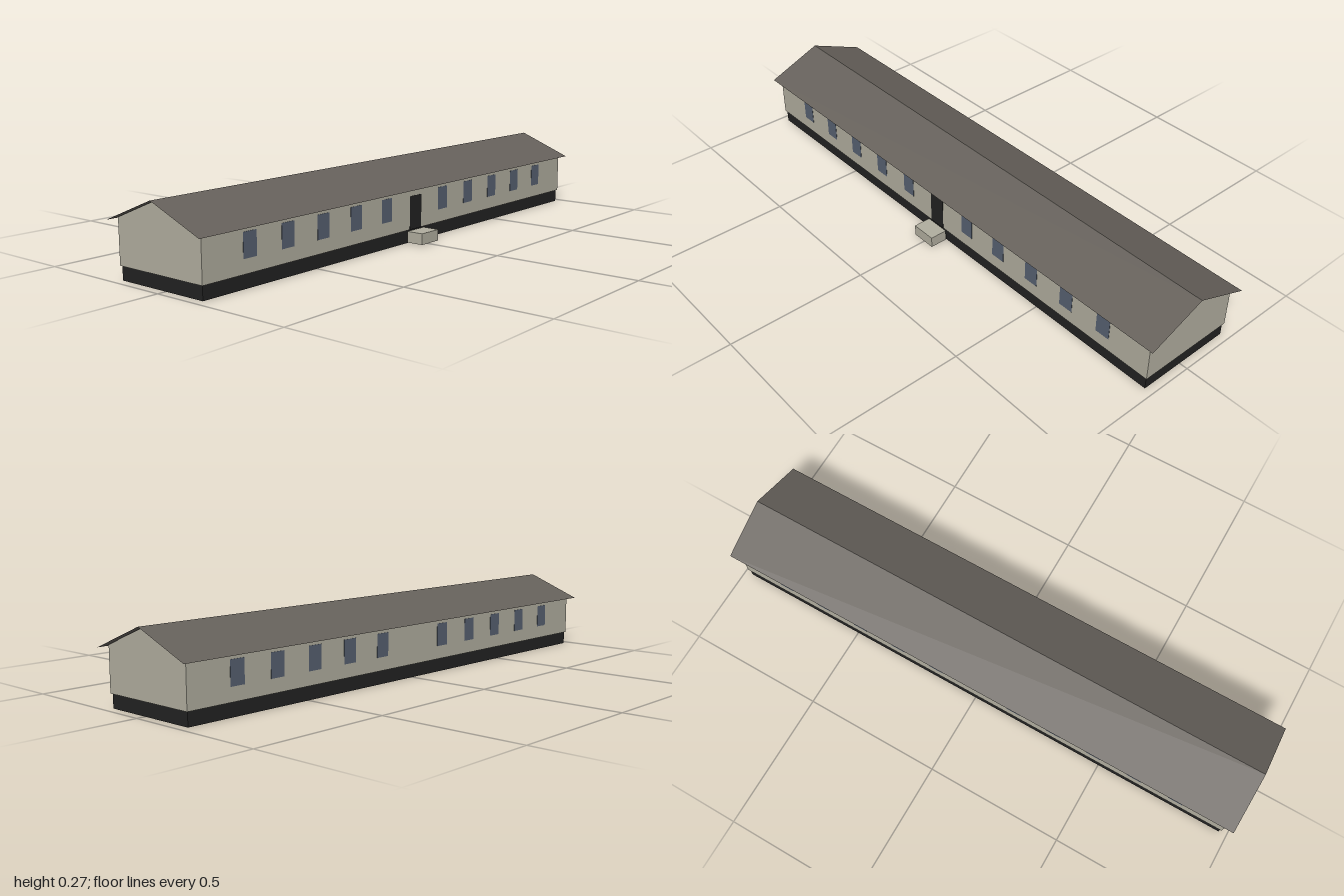
import * as THREE from 'three';

export function createModel() {
  const model = new THREE.Group();
  model.name = 'longBarrack';

  const material = (name, color) => {
    const m = new THREE.MeshStandardMaterial({ color });
    m.name = name;
    return m;
  };
  const wallPaint = material('wall beige', 0xb0ad9e);
  const roofing = material('roof grey brown', 0x66615b);
  roofing.side = THREE.DoubleSide;
  const dark = material('dark base', 0x222222);
  const glass = material('window blue grey', 0x566070);

  const add = (name, geometry, mat) => {
    const mesh = new THREE.Mesh(geometry, mat);
    mesh.name = name;
    model.add(mesh);
    return mesh;
  };
  // Box given by its lower and upper limits on each axis
  const box = (name, mat, [x0, x1], [y0, y1], [z0, z1]) =>
    add(name, new THREE.BoxGeometry(x1 - x0, y1 - y0, z1 - z0), mat)
      .position.set((x0 + x1) / 2, (y0 + y1) / 2, (z0 + z1) / 2);

  const ridgeZ = -0.0195, ridgeY = 0.267;
  const front = 0.163, back = -0.2;
  const base = 0.046, eave = 0.194;

  // Recessed foundation
  box('foundation', dark, [-0.97, 0.97], [0, base], [-0.196, 0.158]);

  // Gabled body: end profile extruded along x
  const gable = new THREE.Shape([
    [-front, base], [-back, base], [-back, eave], [-ridgeZ, ridgeY], [-front, eave],
  ].map(([u, v]) => new THREE.Vector2(u, v)));
  const body = new THREE.ExtrudeGeometry(gable, { depth: 1.95, bevelEnabled: false });
  body.rotateY(Math.PI / 2).translate(-0.975, 0, 0);
  add('walls', body, wallPaint);

  // Two thin roof sheets overhanging the walls
  const halfSpan = 0.204, drop = 0.082;
  for (const side of [1, -1]) {
    const sheet = new THREE.PlaneGeometry(2, Math.hypot(halfSpan, drop));
    sheet.rotateX(-Math.PI / 2);
    sheet.rotateX(side * Math.atan2(drop, halfSpan));
    sheet.translate(0, ridgeY + 0.0015 - drop / 2, ridgeZ + side * halfSpan / 2);
    add(side > 0 ? 'roofFront' : 'roofBack', sheet, roofing);
  }

  // Ten windows along each long wall, leaving a gap in the middle
  for (let i = -5; i <= 5; i++) {
    if (i === 0) continue;
    const x = i * 0.158;
    for (const z of [front, back]) {
      box('window', glass, [x - 0.027, x + 0.027], [0.092, 0.172], [z - 0.001, z + 0.001]);
    }
  }

  // Entrance door and step
  box('door', dark, [-0.032, 0.032], [base, 0.163], [front - 0.001, front + 0.001]);
  box('doorStep', wallPaint, [-0.046, 0.046], [0.004, 0.043], [0.164, 0.227]);

  return model;
}
